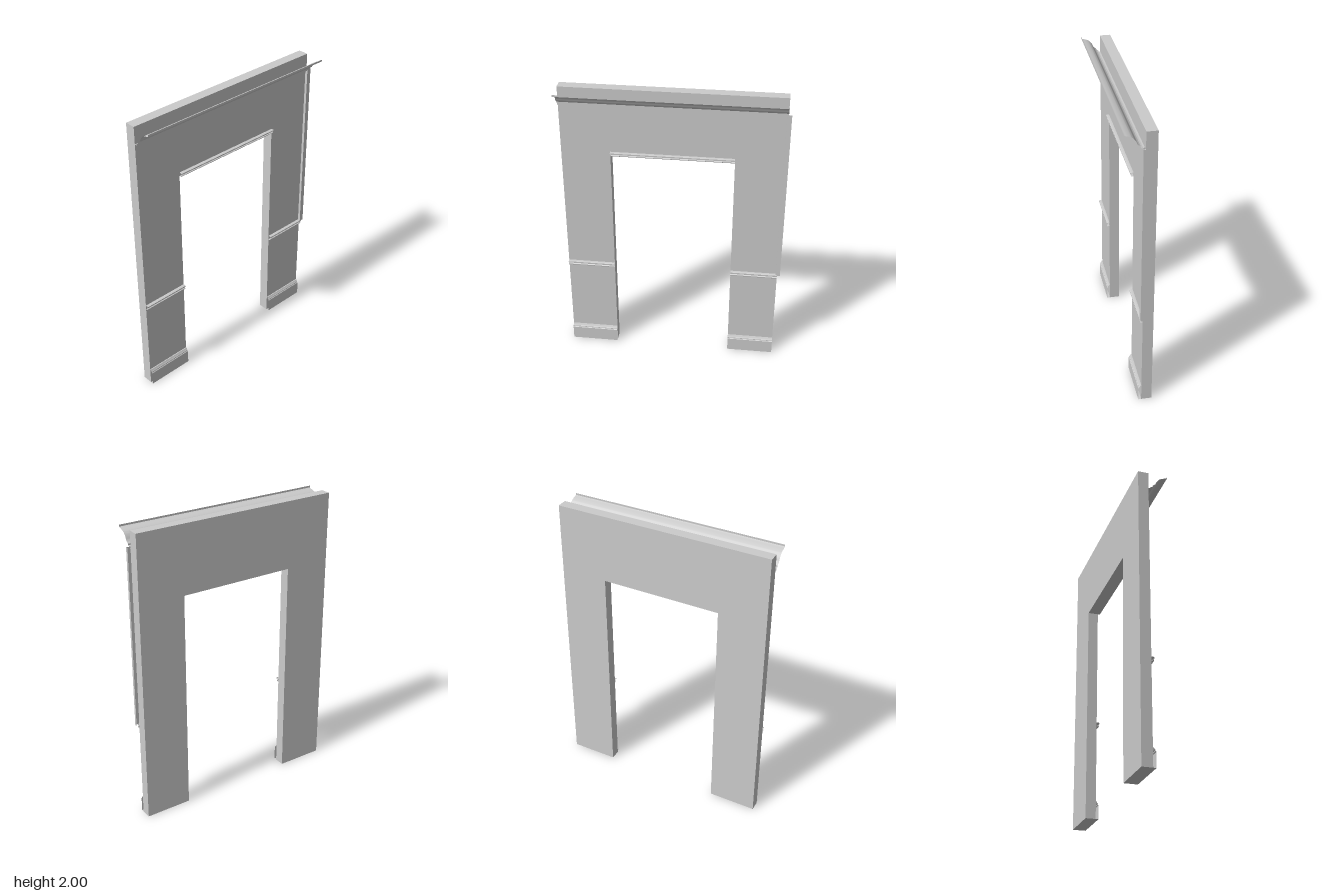
import * as THREE from 'three';
import { toCreasedNormals } from 'three/addons/utils/BufferGeometryUtils.js';

const LEFT = 0.715, RIGHT = -0.74;            // outer wall ends
const OPEN_L = 0.395, OPEN_R = -0.415, OPEN_TOP = 1.535;
const FACE = -0.03, BACK = -0.1;              // wall front and back

const wallMaterial = new THREE.MeshStandardMaterial({ color: 0xcccccc });
const trimMaterial = new THREE.MeshStandardMaterial({ color: 0xcccccc, side: THREE.DoubleSide });

// Open moulding: a [z, y] profile, bottom to top, run along x
function moulding(name, profile, x0, x1) {
  const pos = [], index = [];
  profile.forEach(([z, y], i) => {
    pos.push(x0, y, z, x1, y, z);
    if (i) {
      const a = 2 * i - 2;
      index.push(a, a + 1, a + 3, a, a + 3, a + 2);
    }
  });
  const g = new THREE.BufferGeometry();
  g.setAttribute('position', new THREE.Float32BufferAttribute(pos, 3));
  g.setIndex(index);
  const mesh = new THREE.Mesh(toCreasedNormals(g, 0.6), trimMaterial);
  mesh.name = name;
  return mesh;
}

// Small rail with a cove between two beads
function railProfile(y, h) {
  return [[0, 0], [0.015, 0], [0.017, 0.2], [0.011, 0.35], [0.011, 0.5],
    [0.02, 0.65], [0.02, 0.9], [0.015, 1], [0, 1]].map(([z, t]) => [FACE + z, y + t * h]);
}

export function createModel() {
  const model = new THREE.Group();
  model.name = 'doorwayWall';

  // Wall slab with a doorway
  const outline = new THREE.Shape([
    [RIGHT, 0], [OPEN_R, 0], [OPEN_R, OPEN_TOP], [OPEN_L, OPEN_TOP],
    [OPEN_L, 0], [LEFT, 0], [LEFT, 2], [RIGHT, 2],
  ].map(([x, y]) => new THREE.Vector2(x, y)));
  const slab = new THREE.ExtrudeGeometry(outline, { depth: FACE - BACK, bevelEnabled: false });
  slab.translate(0, 0, BACK);
  const wall = new THREE.Mesh(slab, wallMaterial);
  wall.name = 'wall';
  model.add(wall);

  // Crown moulding: stepped foot, then a smooth S-curve to the lip
  const curve = new THREE.SplineCurve([
    [0, 1.91], [0.016, 1.922], [0.028, 1.945], [0.045, 1.966], [0.07, 1.978], [0.092, 1.984],
  ].map(([z, y]) => new THREE.Vector2(z, y))).getPoints(16).map((p) => [p.x, p.y]);
  model.add(moulding('crownMoulding', [
    [FACE, 1.885], [-0.015, 1.885], [-0.015, 1.896], [0, 1.9], ...curve, [0.1, 1.988], [0.1, 2],
  ], RIGHT, LEFT));

  // Chair rail and baseboard on both legs
  const baseboard = [[FACE, 0], [-0.01, 0], [-0.01, 0.095], [-0.014, 0.099],
    [-0.014, 0.105], [-0.021, 0.112], [-0.024, 0.12], [FACE, 0.12]];
  for (const [side, x0, x1] of [['right', RIGHT, OPEN_R], ['left', OPEN_L, LEFT]]) {
    model.add(moulding(side + 'ChairRail', railProfile(0.655, 0.03), x0, x1));
    model.add(moulding(side + 'Baseboard', baseboard, x0, x1));
  }

  // Rail over the doorway
  model.add(moulding('doorwayRail', railProfile(OPEN_TOP, 0.025), OPEN_R, OPEN_L));

  // Upright corner trim, made as a moulding and turned on end
  const corner = moulding('cornerTrim', [
    [FACE, 0.705], [-0.012, 0.705], [-0.012, 0.735], [FACE, 0.735],
  ], -1.895, -0.68);
  corner.rotation.z = -Math.PI / 2;
  model.add(corner);

  return model;
}
